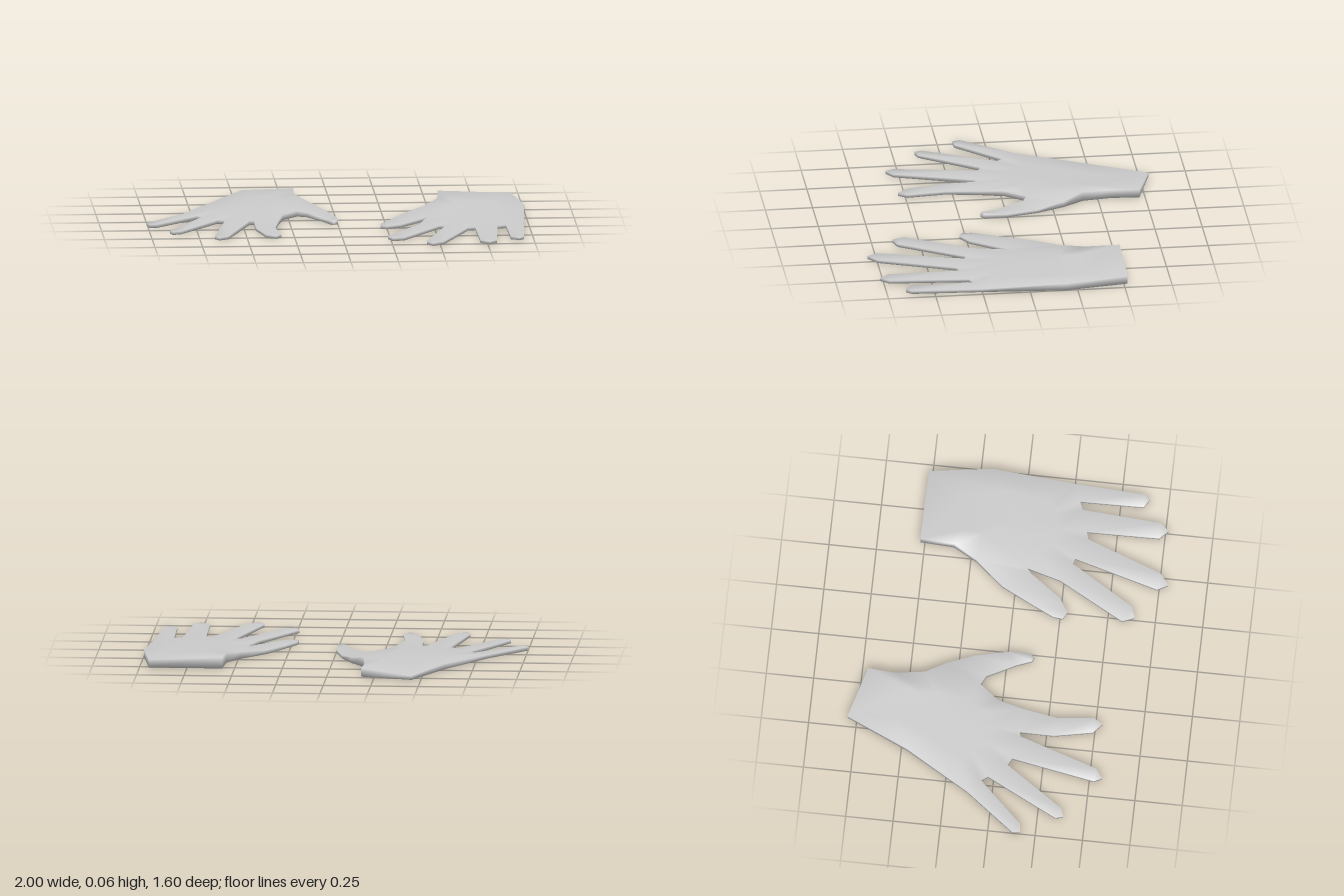
import * as THREE from 'three';

// Default thickness: thin fingers, rising across the palm towards the wrist
const thickness = (z) => Math.min(0.05, 0.017 + 0.06 * Math.max(0, 0.2 - z));

// Outline entries are [x, z, optional height]; a nested list is a finger
// growing out between the palm points before and after it.
const rightHand = [
  [-0.45, -0.8, 0.022], [-0.18, -0.72, 0.045], [-0.19, -0.57, 0.045], [-0.17, -0.42, 0.052],
  [[-0.1, -0.31, 0.032], [-0.04, -0.17, 0.018], [0, 0, 0.017], [0, 0.12], [-0.02, 0.14], [-0.04, 0.13], [-0.07, 0.05, 0.017], [-0.15, -0.1, 0.025]],
  [-0.2, -0.125, 0.03], [-0.28, -0.02], [-0.31, 0.11],
  [[-0.34, 0.29], [-0.32, 0.49], [-0.35, 0.535], [-0.4, 0.49], [-0.44, 0.29]],
  [-0.44, 0.11], [-0.465, 0.115],
  [[-0.6, 0.53], [-0.65, 0.565], [-0.67, 0.525]],
  [-0.59, 0.085, 0.02], [-0.63, 0.065, 0.02],
  [[-0.84, 0.37], [-0.885, 0.385], [-0.895, 0.345]],
  [-0.705, -0.03, 0.02], [-0.73, -0.065, 0.02],
  [[-0.95, 0.165], [-0.995, 0.17], [-1, 0.13]],
  [-0.8, -0.13, 0.02], [-0.6, -0.47, 0.03],
];

const leftHand = [
  [0.565, -0.525, 0.058], [0.95, -0.52, 0.043], [1, -0.19, 0.038], [0.97, 0.25],
  [[0.95, 0.62], [0.925, 0.65], [0.88, 0.62]],
  [0.875, 0.285], [0.83, 0.305],
  [[0.8, 0.72], [0.76, 0.765], [0.715, 0.72]],
  [0.71, 0.34], [0.67, 0.35],
  [[0.52, 0.75], [0.46, 0.795], [0.43, 0.74]],
  [0.555, 0.295], [0.525, 0.285],
  [[0.32, 0.62], [0.26, 0.64], [0.235, 0.575]],
  [0.425, 0.23], [0.475, 0.05, 0.022],
  [[0.45, 0.07, 0.018], [0.325, 0.24], [0.25, 0.285], [0.215, 0.265], [0.22, 0.215], [0.27, 0.11, 0.017], [0.36, -0.07, 0.022]],
  [0.485, -0.22, 0.038], [0.555, -0.345, 0.052],
];

function handGeometry(outline, center) {
  const pos = [], index = [];
  // Each point is a pair: even index on the back of the hand, odd on the flat underside
  const add = ([x, z, y = thickness(z)]) => {
    pos.push(x, y, z, x, 0, z);
    return pos.length / 3 - 2;
  };
  const face = (a, b, c) => index.push(c, b, a, a + 1, b + 1, c + 1);

  const palm = [], edge = [], fingers = [];
  for (const item of outline) {
    if (Array.isArray(item[0])) {
      const ids = item.map(add);
      fingers.push({ after: palm.length - 1, ids });
      edge.push(...ids);
    } else {
      const id = add(item);
      palm.push(id);
      edge.push(id);
    }
  }

  // Fingers: zigzag strip from the base to the tip
  for (const { after, ids } of fingers) {
    const p = [palm[after], ...ids, palm[(after + 1) % palm.length]];
    let lo = 0, hi = p.length - 1;
    while (hi - lo > 1) {
      face(p[lo], p[lo + 1], p[hi]);
      lo++;
      if (hi - lo > 1) {
        face(p[lo], p[hi - 1], p[hi]);
        hi--;
      }
    }
  }

  // Palm: an inner ring and a fan about the centre
  const inner = palm.map((id) => {
    const [x, y, z] = pos.slice(id * 3, id * 3 + 3);
    const mix = (a, b) => a + (b - a) * 0.45;
    return add([mix(x, center[0]), mix(z, center[1]), mix(y, center[2])]);
  });
  const mid = add(center);
  palm.forEach((a, i) => {
    const j = (i + 1) % palm.length;
    face(a, palm[j], inner[j]);
    face(a, inner[j], inner[i]);
    face(inner[i], inner[j], mid);
  });

  // Side wall around the whole outline
  edge.forEach((a, i) => {
    const b = edge[(i + 1) % edge.length];
    index.push(a, b, b + 1, a, b + 1, a + 1);
  });

  const geometry = new THREE.BufferGeometry();
  geometry.setAttribute('position', new THREE.Float32BufferAttribute(pos, 3));
  geometry.setIndex(index);
  geometry.computeVertexNormals();
  return geometry;
}

export function createModel() {
  const group = new THREE.Group();
  group.name = 'pairOfHands';
  const material = new THREE.MeshStandardMaterial({ color: 0xcccccc });
  const addHand = (name, outline, center) => {
    const mesh = new THREE.Mesh(handGeometry(outline, center), material);
    mesh.name = name;
    group.add(mesh);
  };
  addHand('rightHand', rightHand, [-0.4, -0.25, 0.04]);
  addHand('leftHand', leftHand, [0.73, -0.03, 0.036]);
  return group;
}
